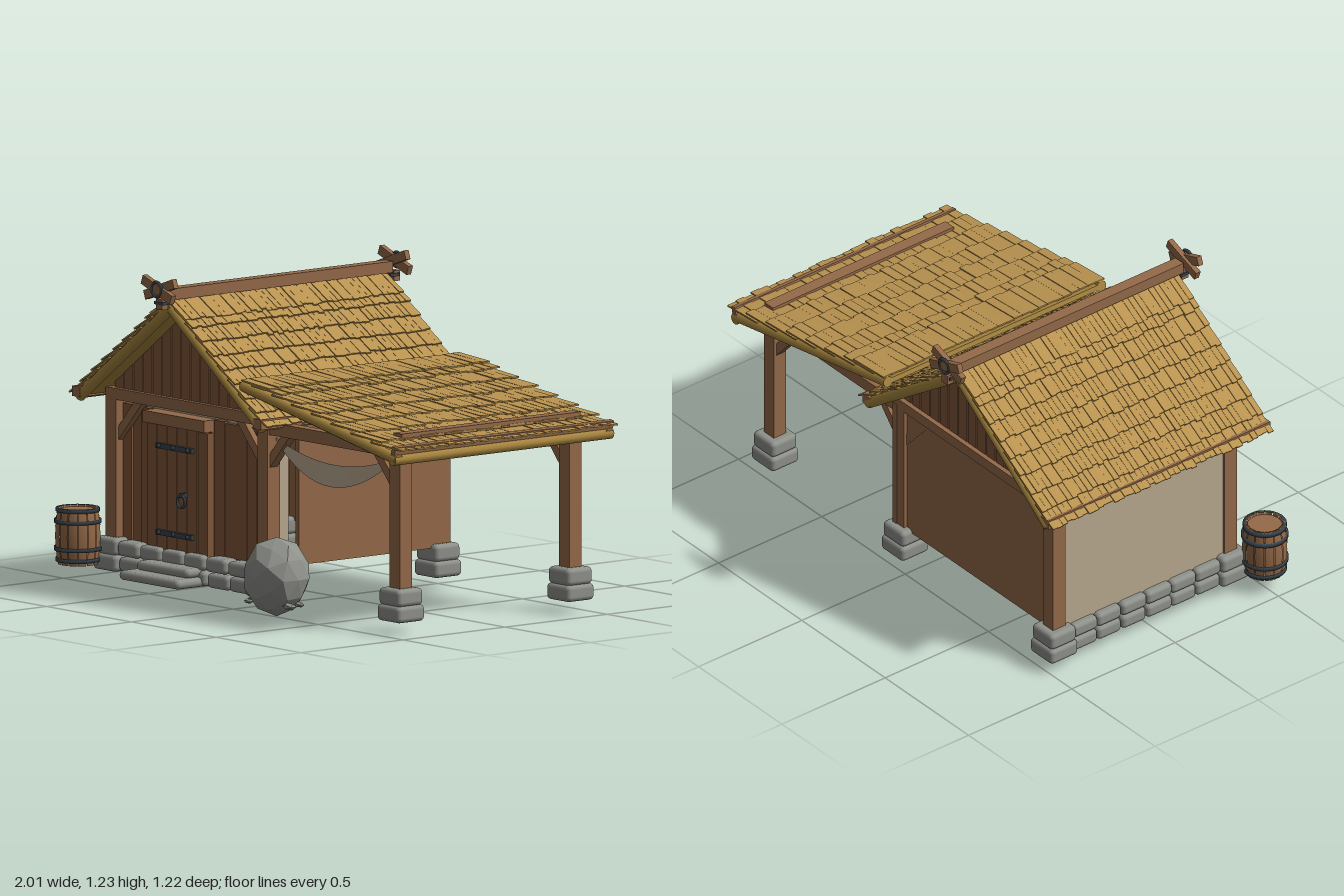
import * as THREE from 'three';
import { mergeGeometries } from 'three/addons/utils/BufferGeometryUtils.js';
import { RoundedBoxGeometry } from 'three/addons/geometries/RoundedBoxGeometry.js';

const mat = (name, color, opts = {}) => {
  const m = new THREE.MeshStandardMaterial({ color, ...opts });
  m.name = name;
  return m;
};

export function createModel() {
  const wood = mat('wood', 0x946a49);
  const plank = mat('plank wood', 0x80573a);
  const thatch = mat('thatch', 0xb8924f);
  const pole = mat('thatch pole', 0xa8863f);
  const stone = mat('stone', 0x8f918b);
  const rock = mat('rock', 0x8f918b, { flatShading: true });
  const plaster = mat('plaster', 0xb8a88f, { side: THREE.DoubleSide });
  const iron = mat('iron', 0x38434b);

  const root = new THREE.Group();
  root.name = 'hut';
  let seed = 7;
  const rnd = () => (seed = (seed * 16807) % 2147483647) / 2147483647;

  const add = (name, geo, m, x = 0, y = 0, z = 0, parent = root) => {
    const mesh = new THREE.Mesh(geo, m);
    mesh.name = name;
    mesh.position.set(x, y, z);
    parent.add(mesh);
    return mesh;
  };
  // box given by its min and max corners
  const span = (name, m, x0, x1, y0, y1, z0, z1, parent = root) =>
    add(name, new THREE.BoxGeometry(x1 - x0, y1 - y0, z1 - z0), m, (x0 + x1) / 2, (y0 + y1) / 2, (z0 + z1) / 2, parent);
  const slab = (name, x0, x1, y0, y1, z0, z1) =>
    add(name, new RoundedBoxGeometry(x1 - x0, y1 - y0, z1 - z0, 2, 0.018), stone, (x0 + x1) / 2, (y0 + y1) / 2, (z0 + z1) / 2);
  // slanted bar in the xy plane
  const bar = (name, m, x0, y0, x1, y1, z, h, d) => {
    const b = add(name, new THREE.BoxGeometry(Math.hypot(x1 - x0, y1 - y0), h, d), m, (x0 + x1) / 2, (y0 + y1) / 2, z);
    b.rotation.z = Math.atan2(y1 - y0, x1 - x0);
  };

  const FRONT = 0.39, BACK = -0.44, RIDGE = -0.37;

  // Post frames, front and back
  for (const z of [FRONT, BACK]) {
    for (const x of [-0.82, 0.075, 0.855]) {
      span('post', wood, x - 0.03, x + 0.03, 0.16, 0.72, z - 0.03, z + 0.03);
      slab('postBaseLower', x - 0.067, x + 0.067, 0.043, 0.107, z - 0.067, z + 0.067);
      slab('postBaseUpper', x - 0.062, x + 0.062, 0.103, 0.17, z - 0.062, z + 0.062);
    }
    span('tieBeam', wood, -0.85, 0.105, 0.695, 0.738, z - 0.031, z + 0.031);
    span('leanToBeam', wood, 0.1, 0.83, 0.665, 0.713, z - 0.022, z + 0.022);
    bar('brace', wood, -0.805, 0.55, -0.66, 0.71, z, 0.035, 0.035);
    bar('brace', wood, 0.06, 0.55, -0.085, 0.71, z, 0.035, 0.035);
    bar('brace', wood, 0.09, 0.55, 0.205, 0.68, z, 0.035, 0.035);
    bar('brace', wood, 0.84, 0.55, 0.725, 0.68, z, 0.035, 0.035);

    // Gable planks cut to the roof slope
    const slopeY = x => 1.1 - 0.755 * Math.abs(x - RIDGE);
    for (let i = -8; i < 8; i++) {
      const a = RIDGE + i * 0.056 + 0.003, b = a + 0.05;
      const s = new THREE.Shape([[a, 0.72], [b, 0.72], [b, slopeY(b)], [a, slopeY(a)]].map(p => new THREE.Vector2(...p)));
      add('gablePlank', new THREE.ExtrudeGeometry(s, { depth: 0.024, bevelEnabled: false }), plank, 0, 0, z - 0.012);
    }
    const tri = new THREE.Shape([[-0.84, 0.72], [0.1, 0.72], [RIDGE, 1.09]].map(p => new THREE.Vector2(...p)));
    add('gableBacking', new THREE.ExtrudeGeometry(tri, { depth: 0.012, bevelEnabled: false }), plank, 0, 0, z - 0.006);
  }
  for (const x of [-0.82, 0.075, 0.855]) span('wallPlate', wood, x - 0.025, x + 0.025, 0.675, 0.725, BACK, FRONT);

  // Walls; the front one leaves a door opening
  span('leftWall', plaster, -0.84, -0.79, 0.155, 0.7, -0.42, 0.36);
  span('frontWallLeft', plaster, -0.8, -0.62, 0.155, 0.7, 0.268, 0.36);
  span('frontWallRight', plaster, -0.26, 0.045, 0.155, 0.7, 0.268, 0.36);
  span('frontWallTop', plaster, -0.62, -0.26, 0.64, 0.7, 0.268, 0.36);
  span('rightWall', wood, 0.085, 0.107, 0.155, 0.71, -0.474, 0.267);
  span('backWall', wood, -0.82, 0.085, 0.155, 0.71, -0.455, -0.43);

  // Front cladding and door boards
  const boards = (name, x0, x1, n, y0, y1, z0, z1) => {
    const w = (x1 - x0) / n;
    for (let i = 0; i < n; i++) {
      const d = rnd() * 0.012;
      span(name, plank, x0 + i * w + 0.002, x0 + (i + 1) * w - 0.002, y0 + d * 0.6, y1 - d, z0, z1 - d * 0.5);
    }
  };
  boards('claddingBoard', -0.79, -0.63, 3, 0.155, 0.68, 0.36, 0.385);
  boards('claddingBoard', -0.255, 0.0, 4, 0.155, 0.68, 0.36, 0.385);
  boards('doorBoard', -0.62, -0.26, 6, 0.112, 0.635, 0.37, 0.415);
  span('doorBack', plank, -0.615, -0.265, 0.13, 0.63, 0.355, 0.385);
  span('doorLintel', wood, -0.625, -0.265, 0.63, 0.675, 0.36, 0.425);

  // Door fittings
  for (const y of [0.55, 0.22]) {
    span('hingeStrap', iron, -0.55, -0.34, y - 0.01, y + 0.01, 0.41, 0.425);
    for (const x of [-0.53, -0.445, -0.36]) {
      add('hingeStud', new THREE.SphereGeometry(0.009, 8, 6), iron, x, y, 0.425);
    }
  }
  add('doorRing', new THREE.TorusGeometry(0.023, 0.006, 8, 20), iron, -0.385, 0.355, 0.435);
  span('ringMount', iron, -0.393, -0.377, 0.37, 0.386, 0.41, 0.44);

  // Two courses of foundation stones along the front and left
  for (const [row, y] of [[0, 0.045], [1, 0.104]]) {
    for (let i = 0; i < 6; i++) {
      const x = -0.755 + i * 0.13 - row * 0.008, j = rnd() * 0.01;
      slab('frontFoundationStone', x, x + 0.124 - j, y, y + 0.056 + j * 0.3, 0.325, 0.44);
    }
    for (let i = 0; i < 6; i++) {
      const z = -0.385 + i * 0.1195, j = rnd() * 0.01;
      slab('leftFoundationStone', -0.87, -0.76, y, y + 0.056 + j * 0.3, z, z + 0.124 - j);
    }
  }
  slab('lowerStep', -0.61, -0.26, 0.043, 0.08, 0.4, 0.56);
  slab('upperStep', -0.58, -0.275, 0.078, 0.115, 0.4, 0.5);

  // Thatched slope: local +x runs downhill from the top edge
  const Z0 = 0.515, Z1 = -0.555, ZC = (Z0 + Z1) / 2, WIDTH = Z0 - Z1;
  const roof = (name, x, y, length, angle, rows, shingleW, flip) => {
    const turn = new THREE.Group();
    turn.name = name;
    turn.position.set(x, y, ZC);
    turn.rotation.y = flip ? Math.PI : 0;
    root.add(turn);
    const slope = new THREE.Group();
    slope.name = name + 'Slope';
    slope.rotation.z = -angle;
    turn.add(slope);
    span('roofDeck', pole, 0, length, -0.028, -0.008, -WIDTH / 2, WIDTH / 2, slope);
    for (const s of [-1, 1]) {
      const log = add('vergePole', new THREE.CylinderGeometry(0.022, 0.022, length, 10), pole, length / 2, -0.018, s * (WIDTH / 2 - 0.018), slope);
      log.rotation.z = Math.PI / 2;
    }
    // overlapping courses with raised lower edges
    const step = (length + 0.02) / rows, list = [];
    const n = Math.round(WIDTH / shingleW), w = WIDTH / n;
    for (let r = 0; r < rows; r++) {
      for (let i = 0; i < n; i++) {
        const len = step * 1.45 + rnd() * 0.012;
        const g = new THREE.BoxGeometry(len, 0.006, w - 0.001);
        g.translate(len / 2, 0, 0);
        g.rotateZ(0.1 + rnd() * 0.03);
        g.translate(Math.max(0, r * step - step * 0.45), 0.004 + rnd() * 0.003, -WIDTH / 2 + (i + 0.5) * w);
        list.push(g);
      }
    }
    add('shingles', mergeGeometries(list), thatch, 0, 0, 0, slope);
    return slope;
  };
  roof('mainRoofRight', RIDGE, 1.125, 0.685, 0.638, 9, 0.025, false);
  roof('mainRoofLeft', RIDGE, 1.125, 0.685, 0.638, 9, 0.025, true);
  const lean = roof('leanToRoof', 0.06, 0.872, 0.93, 0.19, 8, 0.04, false);
  const eave = add('leanToEavePole', new THREE.CylinderGeometry(0.022, 0.022, WIDTH, 10), pole, 0.915, -0.022, 0, lean);
  eave.rotation.x = Math.PI / 2;
  span('leanToTrim', wood, 0.905, 0.925, 0.0, 0.03, -WIDTH / 2, WIDTH / 2, lean);
  span('leanToBatten', wood, 0.83, 0.88, 0.733, 0.758, -0.47, 0.405);
  for (const x of [-0.905, 0.165]) span('eaveBeam', wood, x - 0.022, x + 0.022, 0.703, 0.742, Z1, Z0 + 0.005);

  // Ridge beam with crossed, lashed ends
  span('ridgeBeam', wood, RIDGE - 0.024, RIDGE + 0.024, 1.135, 1.178, -0.57, 0.53);
  for (const [z, s] of [[0.548, 1], [-0.588, -1]]) {
    bar('ridgeCross', wood, RIDGE - 0.085, 1.147, RIDGE + 0.085, 1.208, z, 0.036, 0.022);
    bar('ridgeCross', wood, RIDGE - 0.085, 1.208, RIDGE + 0.085, 1.147, z + s * 0.012, 0.036, 0.022);
    span('ridgePeg', wood, RIDGE - 0.018, RIDGE + 0.018, 1.1, 1.14, z - 0.02, z + 0.01);
    add('lashing', new THREE.TorusGeometry(0.028, 0.007, 6, 14), iron, RIDGE, 1.178, z + s * 0.02);
    add('lashing', new THREE.BoxGeometry(0.05, 0.012, 0.045), iron, RIDGE, 1.125, z - s * 0.01);
  }

  // Sagging cloth between the lean-to posts
  const cloth = new THREE.PlaneGeometry(0.68, 1, 20, 3);
  const p = cloth.attributes.position;
  for (let i = 0; i < p.count; i++) {
    const u = p.getX(i) / 0.34, v = p.getY(i) + 0.5, sag = 1 - u * u;
    p.setXYZ(i, 0.465 + u * 0.345, 0.655 - sag * (0.065 + (1 - v) * 0.07) - (1 - v) * 0.012, FRONT + sag * (1 - v) * 0.02);
  }
  cloth.computeVertexNormals();
  add('cloth', cloth, plaster);

  // Barrel with staves and hoops
  const barrel = new THREE.Group();
  barrel.name = 'barrel';
  barrel.position.set(-0.908, 0.065, 0.508);
  root.add(barrel);
  const radius = y => 0.076 + 0.012 * (1 - ((y - 0.11) / 0.11) ** 2);
  const ys = [0, 0.03, 0.07, 0.11, 0.15, 0.19, 0.215];
  const staves = 14;
  for (let i = 0; i < staves; i++) {
    const prof = ys.map(y => new THREE.Vector2(radius(y), y));
    prof.push(new THREE.Vector2(0.066, 0.215), new THREE.Vector2(0.066, 0), prof[0].clone());
    const a = (i / staves) * Math.PI * 2;
    add('stave', new THREE.LatheGeometry(prof, 1, a, (Math.PI * 2) / staves - 0.04), wood, 0, 0, 0, barrel);
  }
  add('barrelLid', new THREE.CylinderGeometry(0.068, 0.068, 0.012, 24), wood, 0, 0.202, 0, barrel);
  add('barrelCore', new THREE.CylinderGeometry(0.07, 0.07, 0.17, 24, 1, true), plank, 0, 0.11, 0, barrel);
  for (const y of [0.018, 0.06, 0.165, 0.208]) {
    const r = radius(y), h = 0.007;
    const hoop = [[r - 0.006, y - h], [r + 0.005, y - h], [r + 0.005, y + h], [r - 0.006, y + h]].map(q => new THREE.Vector2(...q));
    add('hoop', new THREE.LatheGeometry(hoop, 28), iron, 0, 0, 0, barrel);
  }

  // Faceted boulder with pebbles around it
  const boulder = (name, x, y, z, sx, sy, sz, detail) => {
    const g = new THREE.IcosahedronGeometry(1, detail), q = g.attributes.position, v = new THREE.Vector3();
    for (let i = 0; i < q.count; i++) {
      v.fromBufferAttribute(q, i);
      v.multiplyScalar(1 + 0.07 * Math.sin(v.x * 5 + v.y * 3 + 1) * Math.cos(v.z * 4 - v.y * 2));
      q.setXYZ(i, v.x * sx, v.y * sy, v.z * sz);
    }
    g.computeVertexNormals();
    add(name, g, rock, x, y, z);
  };
  boulder('boulder', 0.24, 0.148, 0.488, 0.133, 0.147, 0.118, 1);
  for (const [x, z, s] of [[0.12, 0.5, 0.026], [0.15, 0.55, 0.02], [0.355, 0.52, 0.03], [0.34, 0.46, 0.022]]) {
    boulder('pebble', x, 0.05, z, s, s * 0.5, s * 0.8, 0);
  }
  return root;
}
